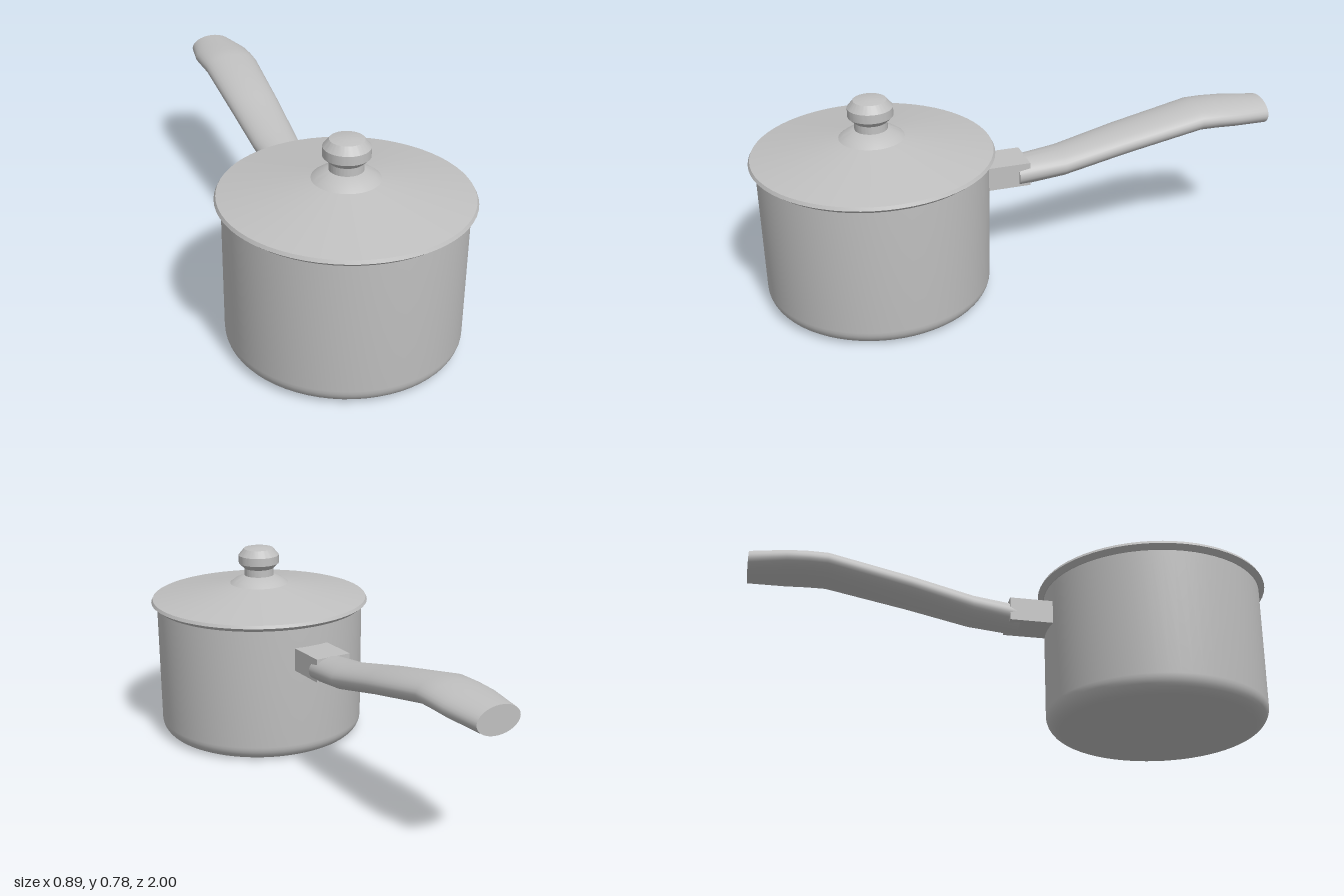
import * as THREE from 'three';
import { toCreasedNormals } from 'three/addons/utils/BufferGeometryUtils.js';

const POT_Z = 0.556;

// Revolved solid from [radius, height] pairs, keeping sharp edges sharp
function turned(name, profile, material) {
  const points = profile.map(([r, y]) => new THREE.Vector2(r, y));
  const mesh = new THREE.Mesh(toCreasedNormals(new THREE.LatheGeometry(points, 64), 0.45), material);
  mesh.name = name;
  mesh.position.z = POT_Z;
  return mesh;
}

// Loft of elliptical sections [z, centreY, halfWidth, halfHeight], running towards -z
function loft(sections, sides) {
  const positions = [], index = [];
  for (const [z, y, w, h] of sections) {
    for (let j = 0; j < sides; j++) {
      const a = (j / sides) * Math.PI * 2;
      positions.push(0.006 + w * Math.cos(a), y + h * Math.sin(a), z);
    }
  }
  const last = sections.length - 1;
  for (let i = 0; i < last; i++) {
    for (let j = 0; j < sides; j++) {
      const a = i * sides + j, b = i * sides + (j + 1) % sides;
      index.push(a, a + sides, b, b, a + sides, b + sides);
    }
  }
  // End caps
  for (let j = 1; j < sides - 1; j++) {
    index.push(0, j, j + 1);
    index.push(last * sides, last * sides + j + 1, last * sides + j);
  }
  const geometry = new THREE.BufferGeometry();
  geometry.setAttribute('position', new THREE.Float32BufferAttribute(positions, 3));
  geometry.setIndex(index);
  return toCreasedNormals(geometry, 0.7);
}

export function createModel() {
  const model = new THREE.Group();
  model.name = 'saucepan';
  const steel = new THREE.MeshStandardMaterial({ color: 0xc0c0c0 });
  steel.name = 'grey steel';

  // Pot: rounded bottom corner, straight wall, hollow inside
  const corner = [];
  for (let i = 0; i <= 8; i++) {
    const a = (i / 8) * Math.PI / 2;
    corner.push([0.358 + 0.06 * Math.sin(a), 0.06 - 0.06 * Math.cos(a)]);
  }
  model.add(turned('pot', [
    [0, 0], ...corner, [0.421, 0.546], [0.406, 0.546], [0.403, 0.06], [0.36, 0.015], [0, 0.015],
  ], steel));

  // Lid: bevelled rim, shallow cone and raised collar
  const lid = new THREE.Group();
  lid.name = 'lid';
  lid.add(turned('lidCover', [
    [0, 0.541], [0.424, 0.541], [0.444, 0.557], [0.438, 0.569],
    [0.119, 0.626], [0.1, 0.64], [0.06, 0.659], [0, 0.659],
  ], steel));

  // Knob on a short neck
  lid.add(turned('lidKnob', [
    [0, 0.65], [0.06, 0.65], [0.06, 0.688], [0.082, 0.709],
    [0.082, 0.742], [0.06, 0.769], [0.03, 0.775], [0, 0.776],
  ], steel));
  model.add(lid);

  // Bracket between the pot wall and the handle
  const bracket = new THREE.Mesh(new THREE.BoxGeometry(0.146, 0.091, 0.19), steel);
  bracket.name = 'handleBracket';
  bracket.position.set(0, 0.419, 0.073);
  model.add(bracket);

  // Curved handle, widening then narrowing at the end
  const handle = new THREE.Mesh(loft([
    [0.02, 0.409, 0.078, 0.052],
    [-0.16, 0.429, 0.09, 0.051],
    [-0.4, 0.484, 0.101, 0.051],
    [-0.71, 0.546, 0.112, 0.051],
    [-0.78, 0.546, 0.114, 0.051],
    [-0.86, 0.542, 0.113, 0.051],
    [-1, 0.532, 0.088, 0.051],
  ], 32), steel);
  handle.name = 'handle';
  model.add(handle);

  return model;
}
